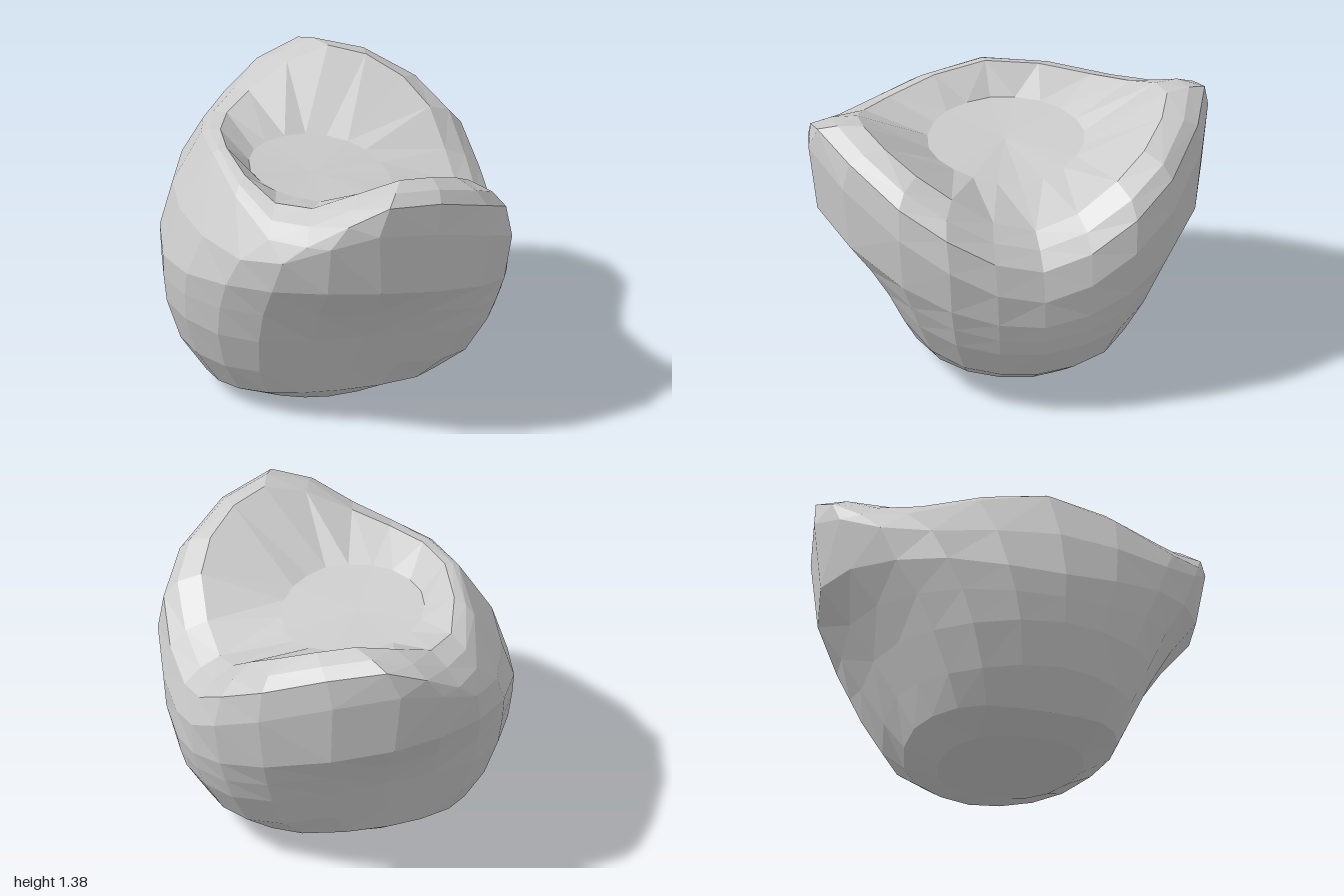
import * as THREE from 'three';

const SIDES = 20;

// Each ring lists five points on its left half: open front (+x), front corner,
// wing, back corner and backrest (-x). The other half is mirrored in z.
const centreTop = [[-0.09, 1.08, 0]];
const seatInner = [[0.29, 1.03, 0], [0.19, 1.07, 0.27], [-0.04, 1.1, 0.39], [-0.3, 1.12, 0.28], [-0.41, 1.13, 0]];
const seatEdge = [[0.62, 0.95, 0], [0.55, 1.22, 0.5], [0.16, 1.38, 0.76], [-0.34, 1.2, 0.6], [-0.53, 1.27, 0]];
const rimTop = [[0.72, 0.9, 0], [0.65, 1.17, 0.56], [0.11, 1.37, 0.88], [-0.38, 1.16, 0.72], [-0.57, 1.265, 0]];
const rimEdge = [[0.8, 0.82, 0], [0.71, 1.09, 0.58], [0.06, 1.335, 0.97], [-0.41, 1.09, 0.81], [-0.6, 1.25, 0]];
const bodyRings = [
  rimEdge,
  [[0.84, 0.67, 0], [0.74, 0.92, 0.57], [0, 1.2, 1.0], [-0.53, 0.98, 0.73], [-0.77, 0.97, 0]],
  [[0.84, 0.53, 0], [0.7, 0.66, 0.55], [0.02, 0.87, 0.96], [-0.58, 0.82, 0.66], [-0.85, 0.72, 0]],
  [[0.82, 0.44, 0], [0.66, 0.53, 0.52], [0.01, 0.69, 0.81], [-0.6, 0.65, 0.57], [-0.845, 0.6, 0]],
  [[0.79, 0.35, 0], [0.62, 0.41, 0.49], [0, 0.51, 0.69], [-0.6, 0.47, 0.5], [-0.83, 0.47, 0]],
  [[0.68, 0.18, 0], [0.53, 0.22, 0.42], [-0.05, 0.31, 0.59], [-0.56, 0.26, 0.42], [-0.76, 0.26, 0]],
  [[0.53, 0.08, 0], [0.4, 0.11, 0.36], [-0.08, 0.14, 0.51], [-0.49, 0.11, 0.36], [-0.63, 0.07, 0]],
];
const baseRings = [
  bodyRings[bodyRings.length - 1],
  [[0.36, 0.05, 0], [0.25, 0.04, 0.25], [-0.1, 0.03, 0.35], [-0.36, 0.02, 0.24], [-0.46, 0.005, 0]],
  [[0.1, 0.03, 0], [0.03, 0.025, 0.12], [-0.12, 0.012, 0.17], [-0.25, 0.005, 0.12], [-0.31, 0, 0]],
  [[-0.11, 0.012, 0]],
];

// Closed smooth loop through a ring's points, sampled into equal steps
function sampleRing(half) {
  const left = half.map((p) => new THREE.Vector3(...p));
  if (left.length === 1) return Array(SIDES).fill(left[0]);
  const right = left.slice(1, -1).reverse().map((p) => new THREE.Vector3(p.x, p.y, -p.z));
  const curve = new THREE.CatmullRomCurve3([...left, ...right], true);
  return Array.from({ length: SIDES }, (_, k) => curve.getPoint(k / SIDES));
}

// Faceted skin over a stack of rings, each quad split along its shorter diagonal
function skin(name, rings, material) {
  const loops = rings.map(sampleRing);
  const triangles = [];
  for (let i = 0; i < loops.length - 1; i++) {
    for (let k = 0; k < SIDES; k++) {
      const n = (k + 1) % SIDES;
      const a = loops[i][k], b = loops[i + 1][k], c = loops[i + 1][n], d = loops[i][n];
      if (a === d) triangles.push(a, c, b);
      else if (b === c) triangles.push(a, d, c);
      else if (a.distanceTo(c) < b.distanceTo(d)) triangles.push(a, d, c, a, c, b);
      else triangles.push(a, d, b, d, c, b);
    }
  }
  const geometry = new THREE.BufferGeometry().setFromPoints(triangles);
  geometry.computeVertexNormals();
  const mesh = new THREE.Mesh(geometry, material);
  mesh.name = name;
  return mesh;
}

export function createModel() {
  const group = new THREE.Group();
  group.name = 'beanbagChair';
  const fabric = new THREE.MeshStandardMaterial({ color: 0xcccccc, flatShading: true });

  // Saddle-shaped seat, low at the front, rising into the wings and backrest
  group.add(skin('seat', [centreTop, seatInner, seatEdge], fabric));
  // Rounded rim around the seat
  group.add(skin('rim', [seatEdge, rimTop, rimEdge], fabric));
  // Bulging sides tapering down
  group.add(skin('body', bodyRings, fabric));
  // Flattened underside
  group.add(skin('base', baseRings, fabric));
  return group;
}
